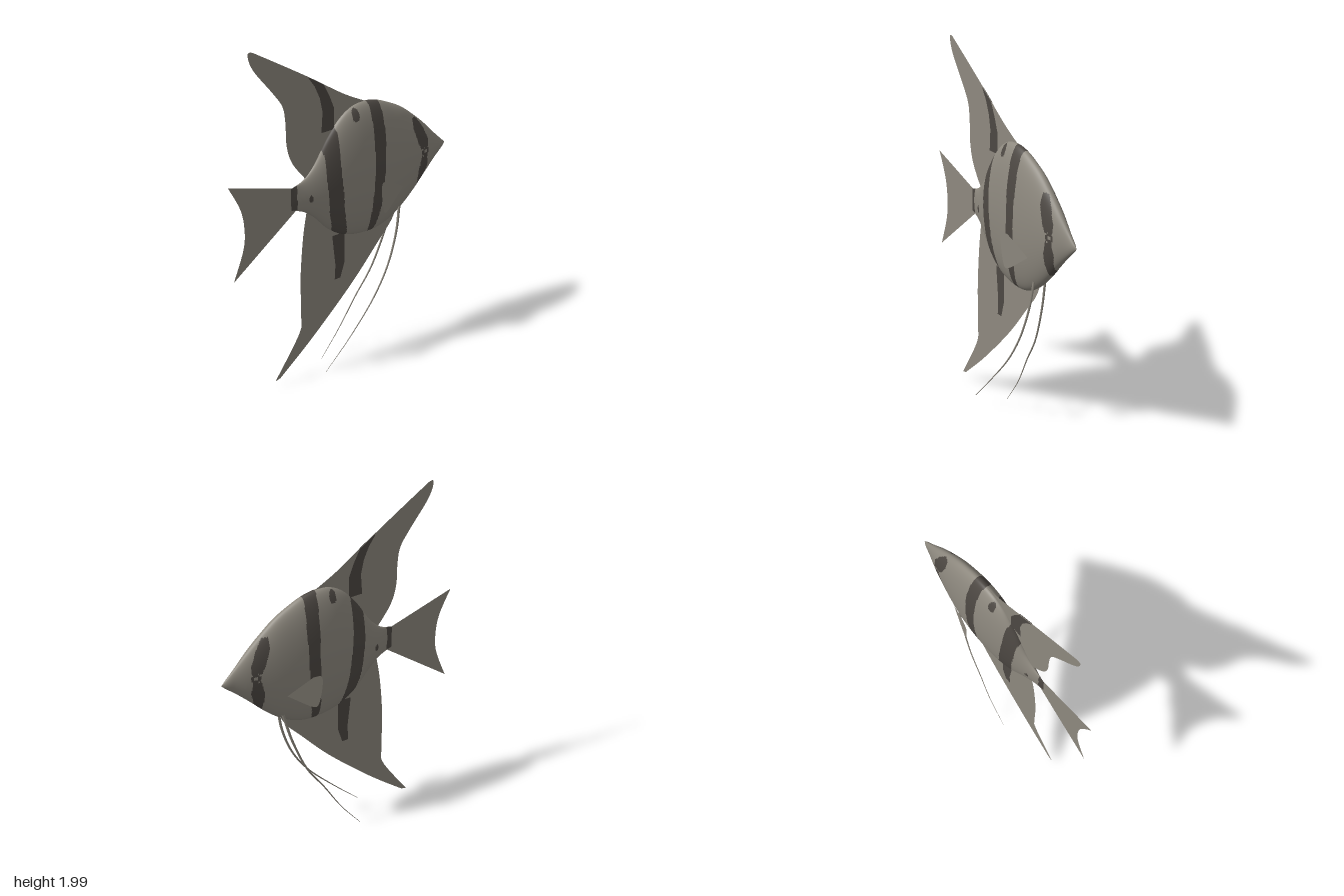
import * as THREE from 'three';

const skin = new THREE.MeshStandardMaterial({ color: 0x8e897f, side: THREE.DoubleSide });
skin.name = 'greyBrownSkin';
const dark = new THREE.MeshStandardMaterial({ color: 0x4d4843, side: THREE.DoubleSide });
dark.name = 'darkStripe';

// Body sections: x, top, bottom, half width
const SECTIONS = [
  [-0.32, 1.2, 1.075, 0], [-0.24, 1.23, 1.04, 0.02], [-0.18, 1.29, 0.99, 0.035],
  [-0.1, 1.415, 0.9, 0.053], [-0.02, 1.51, 0.84, 0.067], [0.06, 1.56, 0.81, 0.076],
  [0.14, 1.57, 0.798, 0.08], [0.22, 1.555, 0.8, 0.08], [0.3, 1.52, 0.825, 0.077],
  [0.38, 1.475, 0.875, 0.07], [0.46, 1.41, 0.945, 0.059], [0.54, 1.335, 1.03, 0.045],
  [0.62, 1.25, 1.11, 0.023], [0.67, 1.2, 1.155, 0.01], [0.69, 1.18, 1.175, 0],
];

// Stripes: rows of y, rear x, front x
const TAIL_BAND = [[-0.1, 0, 0], [1.07, -0.33, -0.283], [1.14, -0.33, -0.288], [1.21, -0.33, -0.285]].slice(1);
const REAR_STRIPE = [
  [0.562, -0.05, -0.012], [0.652, -0.045, 0.015], [0.838, -0.065, 0.015], [0.997, -0.106, -0.02],
  [1.236, -0.128, -0.045], [1.464, -0.13, -0.05], [1.58, -0.122, -0.05], [1.66, -0.138, -0.08],
  [1.73, -0.168, -0.115], [1.785, -0.205, -0.198],
];
const MID_STRIPE = [
  [0.78, 0.155, 0.185], [0.865, 0.149, 0.2], [0.997, 0.154, 0.22], [1.183, 0.162, 0.228],
  [1.395, 0.16, 0.233], [1.6, 0.15, 0.222],
];
const CHEEK_STRIPE = [[0.93, 0.485, 0.5], [1.024, 0.477, 0.525], [1.1, 0.477, 0.546], [1.165, 0.493, 0.535]];
const BROW_STRIPE = [[1.215, 0.485, 0.54], [1.263, 0.462, 0.54], [1.342, 0.435, 0.505], [1.4, 0.435, 0.465]];
const STRIPES = [TAIL_BAND, REAR_STRIPE, MID_STRIPE, CHEEK_STRIPE, BROW_STRIPE].map(rows => ({
  low: rows[0][0],
  high: rows[rows.length - 1][0],
  edges: new THREE.LinearInterpolant(rows.map(r => r[0]), rows.flatMap(r => r.slice(1)), 2),
}));

function isDark(x, y) {
  const eye = Math.hypot(x - 0.52, y - 1.19);
  if (eye < 0.026) return eye > 0.012;
  if (Math.hypot((x - 0.063) / 0.02, (y - 1.52) / 0.036) < 1) return true;
  if (Math.hypot((x + 0.212) / 0.011, (y - 1.12) / 0.02) < 1) return true;
  return STRIPES.some(({ low, high, edges }) => {
    if (y < low || y > high) return false;
    const [a, b] = edges.evaluate(y);
    return x > a && x < b;
  });
}

// Lens-shaped body, with its faces sorted into skin and stripe groups
function buildBody() {
  const along = 230, around = 120;
  const spline = new THREE.CubicInterpolant(SECTIONS.map(s => s[0]), SECTIONS.flatMap(s => s.slice(1)), 3);
  const pos = [], faces = [[], []];
  for (let i = 0; i <= along; i++) {
    const x = -0.32 + 1.01 * i / along;
    const [top, bottom, w] = spline.evaluate(Math.min(x, 0.69));
    for (let j = 0; j < around; j++) {
      const a = 2 * Math.PI * j / around;
      pos.push(x, (top + bottom) / 2 + Math.cos(a) * (top - bottom) / 2, Math.sin(a) * Math.max(w, 0));
    }
  }
  for (let i = 0; i < along; i++) {
    for (let j = 0; j < around; j++) {
      const a = i * around + j, b = i * around + (j + 1) % around;
      const c = a + around, d = b + around;
      const x = (pos[a * 3] + pos[d * 3]) / 2;
      const y = (pos[a * 3 + 1] + pos[b * 3 + 1] + pos[c * 3 + 1] + pos[d * 3 + 1]) / 4;
      faces[isDark(x, y) ? 1 : 0].push(a, b, c, b, d, c);
    }
  }
  const geo = new THREE.BufferGeometry();
  geo.setAttribute('position', new THREE.Float32BufferAttribute(pos, 3));
  geo.setIndex([...faces[0], ...faces[1]]);
  geo.addGroup(0, faces[0].length, 0);
  geo.addGroup(faces[0].length, faces[1].length, 1);
  geo.computeVertexNormals();
  // Keep the front side outward
  const n = geo.attributes.normal, k = 115 * around + 30;
  if (n.getZ(k) < 0) {
    const ix = geo.index.array;
    for (let t = 0; t < ix.length; t += 3) [ix[t + 1], ix[t + 2]] = [ix[t + 2], ix[t + 1]];
    geo.computeVertexNormals();
  }
  return geo;
}

// Flat outline: each run of points is a smooth curve, corners where runs meet
function outline(...runs) {
  const shape = new THREE.Shape();
  runs.forEach((run, i) => {
    const pts = run.map(p => new THREE.Vector2(...p));
    if (i === 0) shape.moveTo(pts[0].x, pts[0].y);
    else shape.lineTo(pts[0].x, pts[0].y);
    if (pts.length > 1) shape.splineThru(pts.slice(1));
  });
  return new THREE.ShapeGeometry(shape, 8);
}

export function createModel() {
  const model = new THREE.Group();
  model.name = 'angelfish';
  const add = (name, geo, mat) => {
    const mesh = new THREE.Mesh(geo, mat);
    mesh.name = name;
    model.add(mesh);
    return mesh;
  };

  add('body', buildBody(), [skin, dark]);

  // Fins along the middle plane
  add('dorsalFin', outline(
    [[0.16, 1.562], [0.01, 1.645], [-0.207, 1.793], [-0.47, 1.963], [-0.535, 2.0], [-0.55, 1.98],
      [-0.52, 1.9], [-0.414, 1.756], [-0.36, 1.67], [-0.345, 1.58], [-0.34, 1.448], [-0.308, 1.342], [-0.233, 1.235]],
    [[-0.15, 1.2]], [[0.1, 1.4]]), skin);
  add('analFin', outline(
    [[-0.223, 1.05], [-0.25, 0.89], [-0.27, 0.65], [-0.27, 0.414], [-0.285, 0.3], [-0.445, 0.053]],
    [[-0.414, 0.06], [-0.2, 0.24], [0.064, 0.493], [0.25, 0.706], [0.33, 0.8], [0.37, 0.88]],
    [[0.2, 1.1]]), skin);
  add('tailFin', outline(
    [[-0.285, 1.2]], [[-0.31, 1.2]],
    [[-0.69, 1.32], [-0.626, 1.183], [-0.605, 1.066], [-0.615, 0.944], [-0.68, 0.77]],
    [[-0.285, 1.07]]), skin);

  // Rear stripe carried on to the fins, both faces
  const finStripe = rows => outline(
    ...rows.map(r => [[r[1], r[0]]]), ...[...rows].reverse().map(r => [[r[2], r[0]]]));
  for (const side of [1, -1]) {
    add('dorsalFinStripe', finStripe(REAR_STRIPE.slice(5)), dark).position.z = side * 0.003;
    add('analFinStripe', finStripe(REAR_STRIPE.slice(0, 3)), dark).position.z = side * 0.003;
  }

  // Pectoral fins, flaring outwards to the rear
  for (const side of [1, -1]) {
    const geo = outline([[0.355, 1.035]], [[0.22, 1.128], [0.178, 1.122], [0.178, 1.04], [0.2, 0.945], [0.24, 0.95]]);
    const p = geo.attributes.position;
    for (let i = 0; i < p.count; i++) p.setZ(i, side * (0.068 + (0.355 - p.getX(i)) * 0.28));
    geo.computeVertexNormals();
    add(side > 0 ? 'rightPectoralFin' : 'leftPectoralFin', geo, skin);
  }

  // Long tapering pelvic filaments
  const filaments = [
    ['rightPelvicFilament', 1, [[0.36, 0.9], [0.335, 0.75], [0.27, 0.565], [0.17, 0.4], [0.01, 0.218], [-0.165, 0.042]]],
    ['leftPelvicFilament', -1, [[0.365, 0.9], [0.32, 0.72], [0.238, 0.505], [0.143, 0.355], [0.037, 0.175], [-0.085, 0.01]]],
  ];
  const depth = [0.033, 0.043, 0.056, 0.066, 0.076, 0.078];
  for (const [name, side, path] of filaments) {
    const curve = new THREE.CatmullRomCurve3(path.map(([x, y], i) => new THREE.Vector3(x, y, side * depth[i])));
    const geo = new THREE.TubeGeometry(curve, 40, 1, 6);
    const p = geo.attributes.position, v = new THREE.Vector3();
    for (let i = 0; i < p.count; i++) {
      const t = Math.floor(i / 7) / 40, c = curve.getPointAt(t);
      v.fromBufferAttribute(p, i).sub(c).multiplyScalar(0.0075 * (1 - t) + 0.0012);
      v.z *= 0.6;
      v.add(c);
      p.setXYZ(i, v.x, v.y, v.z);
    }
    add(name, geo, skin);
  }
  return model;
}
